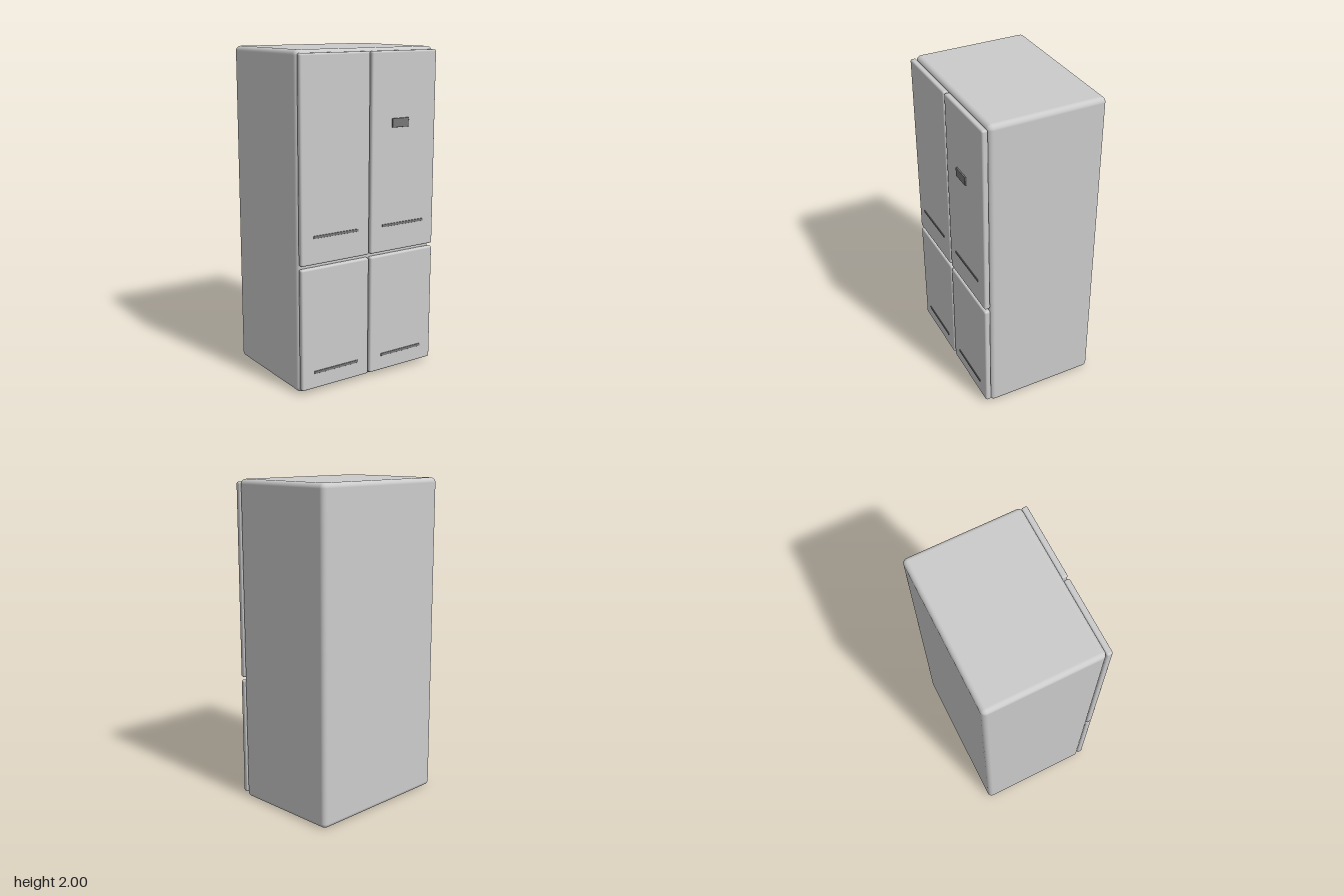
import * as THREE from 'three';
import { RoundedBoxGeometry } from 'three/addons/geometries/RoundedBoxGeometry.js';

const shell = new THREE.MeshStandardMaterial({ color: 0xcccccc });
const dark = new THREE.MeshStandardMaterial({ color: 0x777777 });

// Rounded block given by its limits on each axis
function block(name, [x0, x1], [y0, y1], [z0, z1], radius, material) {
  const geometry = new RoundedBoxGeometry(x1 - x0, y1 - y0, z1 - z0, 4, radius);
  const mesh = new THREE.Mesh(geometry, material);
  mesh.position.set((x0 + x1) / 2, (y0 + y1) / 2, (z0 + z1) / 2);
  mesh.name = name;
  return mesh;
}

export function createModel() {
  const fridge = new THREE.Group();
  fridge.name = 'refrigerator';

  // Cabinet
  fridge.add(block('cabinet', [-0.485, 0.485], [0.005, 2], [-0.377, 0.333], 0.03, shell));

  // Upper and lower pairs of doors, each with a slim handle bar near its bottom edge
  const rows = [
    { name: 'upper', door: [0.787, 1.982], handle: [0.943, 0.959] },
    { name: 'lower', door: [0.028, 0.768], handle: [0.121, 0.138] },
  ];
  for (const row of rows) {
    for (const side of [-1, 1]) {
      const label = row.name + (side > 0 ? 'Left' : 'Right');
      const span = (a, b) => (side > 0 ? [a, b] : [-b, -a]);
      fridge.add(block(label + 'Door', span(0.006, 0.481), row.door, [0.331, 0.368], 0.012, shell));
      fridge.add(block(label + 'Handle', span(0.087, 0.398), row.handle, [0.355, 0.372], 0.002, dark));
    }
  }

  // Control display on the upper left door
  fridge.add(block('display', [0.151, 0.27], [1.537, 1.591], [0.355, 0.377], 0.002, dark));

  return fridge;
}
